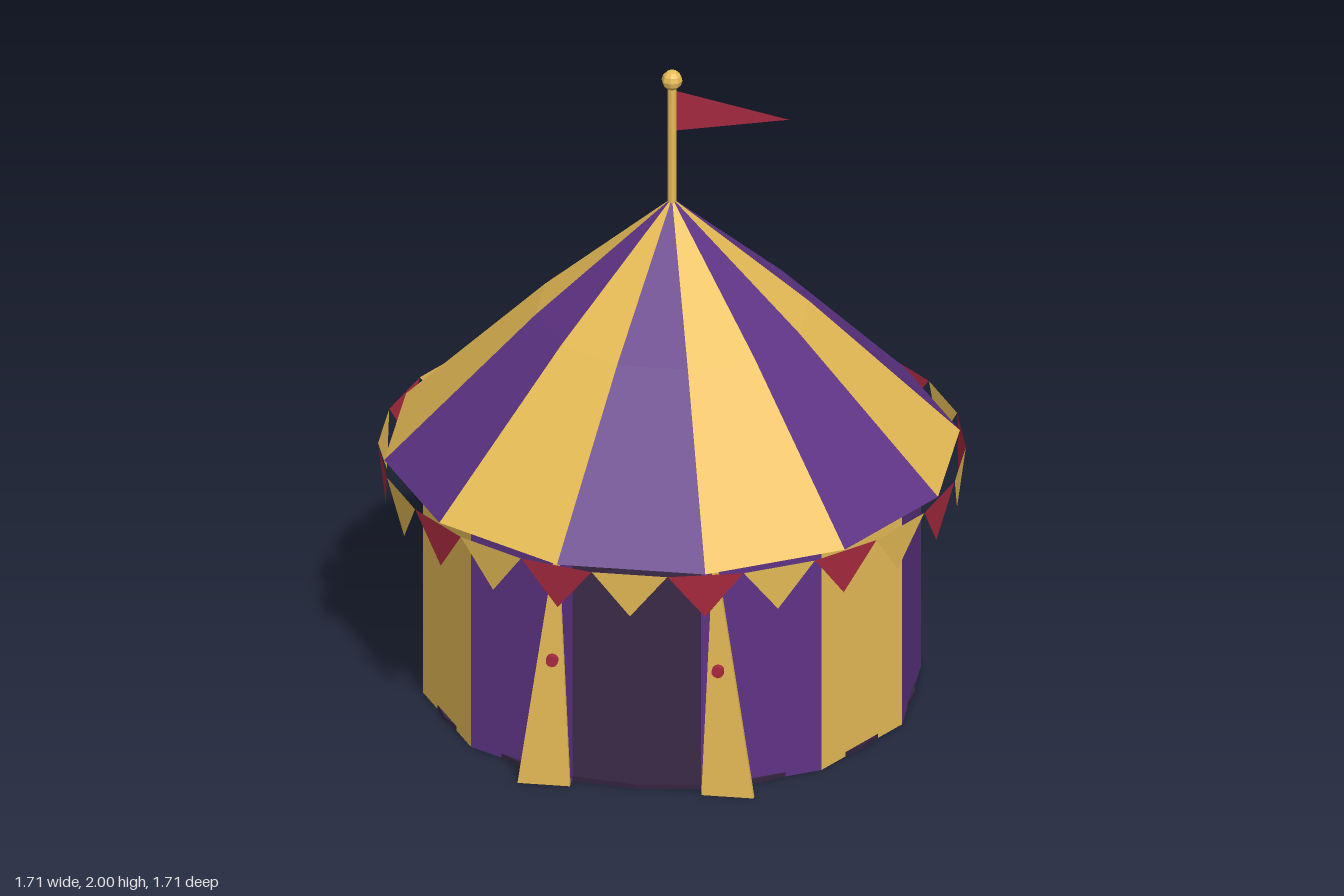
import * as THREE from 'three';

const mat = (color, side = THREE.FrontSide) =>
  new THREE.MeshStandardMaterial({ color, side, flatShading: true });
const purple = mat(0x5e3385);
const gold = mat(0xe8bd57);
const goldCloth = mat(0xe8bd57, THREE.DoubleSide);
const redCloth = mat(0xa82a40, THREE.DoubleSide);
const dark = mat(0x34243f);
const lining = mat(0x34243f, THREE.BackSide);

const SIDES = 12;
const STEP = (Math.PI * 2) / SIDES;
const WALL = [[0.735, 0], [0.735, 0.87]];
const ROOF = [[0.85, 0.77], [0.405, 1.22], [0.002, 1.58]];

function addMesh(parent, name, geometry, material, x = 0, y = 0, z = 0) {
  const mesh = new THREE.Mesh(geometry, material);
  mesh.name = name;
  mesh.position.set(x, y, z);
  parent.add(mesh);
  return mesh;
}

// One flat-sided cloth panel: a [radius, height] profile swept across one side
function panelGeometry(profile, index, inset = 0) {
  const positions = [];
  const indices = [];
  profile.forEach(([r, y], k) => {
    for (const side of [-0.5, 0.5]) {
      const a = (index + side) * STEP;
      const rr = Math.max(r - inset, 0);
      positions.push(Math.sin(a) * rr, y, Math.cos(a) * rr);
    }
    if (k > 0) {
      const b = (k - 1) * 2;
      indices.push(b, b + 1, b + 3, b, b + 3, b + 2);
    }
  });
  const g = new THREE.BufferGeometry();
  g.setAttribute('position', new THREE.Float32BufferAttribute(positions, 3));
  g.setIndex(indices);
  g.computeVertexNormals();
  return g;
}

function triangleGeometry(...corners) {
  const g = new THREE.BufferGeometry();
  g.setAttribute('position', new THREE.Float32BufferAttribute(corners.flat(), 3));
  g.computeVertexNormals();
  return g;
}

export function createModel() {
  const model = new THREE.Group();
  model.name = 'stripedTent';

  const [walls, roof, bunting, entrance, mast] =
    ['walls', 'roof', 'bunting', 'entrance', 'mast'].map((name) => {
      const group = new THREE.Group();
      group.name = name;
      model.add(group);
      return group;
    });

  // Floor disc
  addMesh(model, 'floor', new THREE.CylinderGeometry(0.72, 0.72, 0.014, 24), dark, 0, 0.007, 0);

  // Striped panels with dark linings; the front wall panel is left open
  for (let i = 0; i < SIDES; i++) {
    const odd = i % 2 === 1;
    addMesh(roof, 'roofPanel', panelGeometry(ROOF, i), odd ? gold : purple);
    addMesh(roof, 'roofLining', panelGeometry(ROOF, i, 0.006), lining);
    if (i === 0) continue;
    addMesh(walls, 'wallPanel', panelGeometry(WALL, i), odd ? purple : gold);
    addMesh(walls, 'wallLining', panelGeometry(WALL, i, 0.008), lining);
  }

  // Pennants round the eave, alternating gold and red
  const pennant = triangleGeometry([-0.112, 0.77, 0.855], [0, 0.628, 0.845], [0.112, 0.77, 0.855]);
  for (let i = 0; i < SIDES * 2; i++) {
    const flag = addMesh(bunting, 'pennant', pennant, i % 2 ? redCloth : goldCloth);
    flag.rotation.y = (i * STEP) / 2;
  }

  // Tied-back door flaps, each with a round toggle
  for (const s of [-1, 1]) {
    const shape = new THREE.Shape([
      [0.195, 0], [0.35, 0], [0.242, 0.75], [0.228, 0.75],
    ].map(([x, y]) => new THREE.Vector2(x * s, y)));
    const flap = new THREE.ExtrudeGeometry(shape, { depth: 0.016, bevelEnabled: false });
    addMesh(entrance, s < 0 ? 'rightDoorFlap' : 'leftDoorFlap', flap, goldCloth, 0, 0, 0.717);
    const toggle = new THREE.CylinderGeometry(0.018, 0.018, 0.02, 10).rotateX(Math.PI / 2);
    addMesh(entrance, 'toggle', toggle, redCloth, 0.246 * s, 0.415, 0.743);
  }

  // Mast with a ball finial and a pointed flag
  addMesh(mast, 'pole', new THREE.CylinderGeometry(0.013, 0.013, 0.42, 8), gold, 0, 1.75, 0);
  addMesh(mast, 'finial', new THREE.SphereGeometry(0.031, 8, 6), gold, 0, 1.969, 0);
  addMesh(mast, 'flag',
    triangleGeometry([0.01, 1.8, -0.008], [0.35, 1.875, 0.022], [0.01, 1.93, -0.008]), redCloth);

  return model;
}
